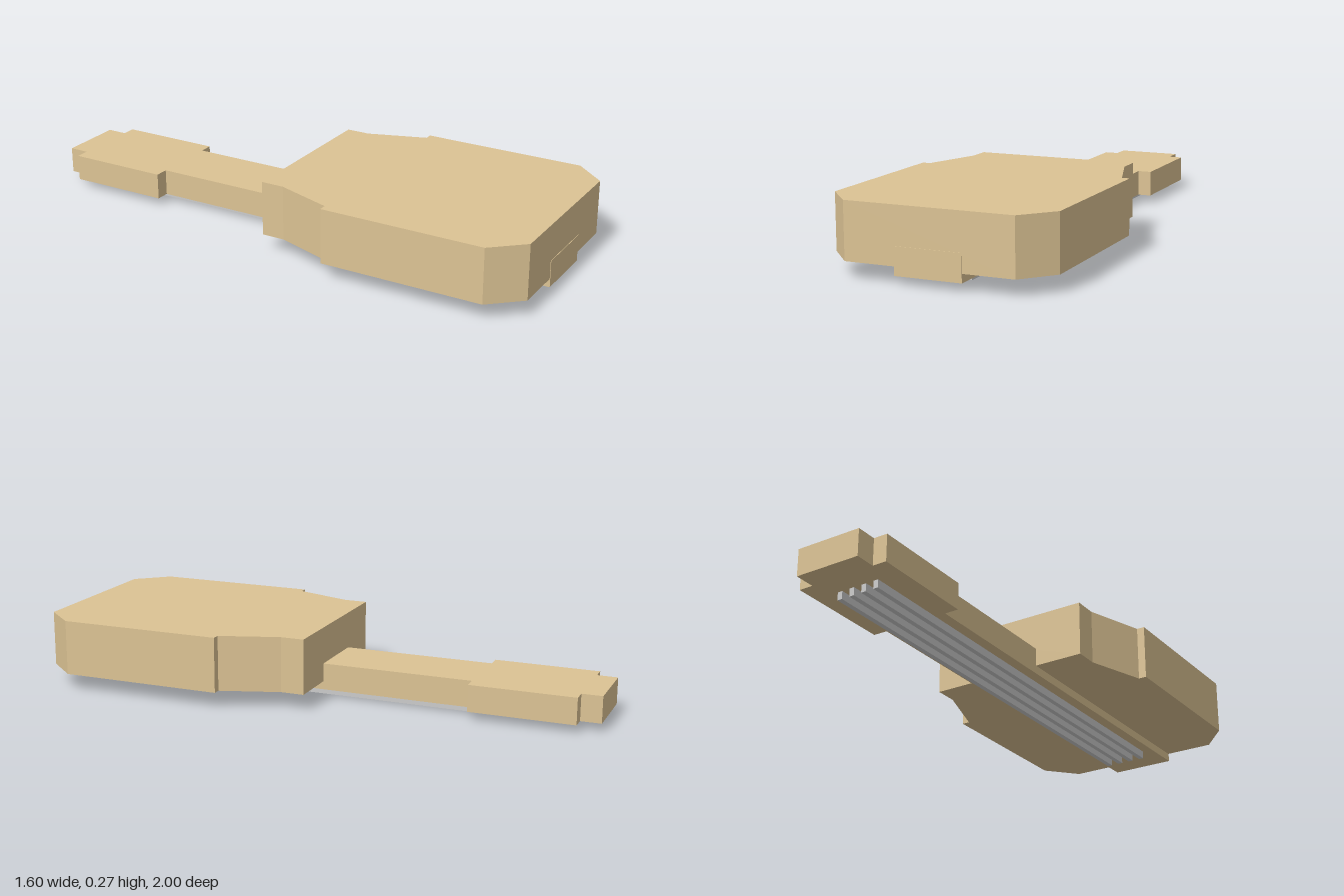
import * as THREE from 'three';

const wood = new THREE.MeshStandardMaterial({ color: 0xdcc394, flatShading: true });
const metal = new THREE.MeshStandardMaterial({ color: 0xcccccc, flatShading: true });

// Symmetric slab: rows of [half width, z], mirrored across x and extruded from y0 to y1.
function slab(name, rows, y0, y1) {
  const right = rows.map(([w, z]) => new THREE.Vector2(w, -z));
  const left = rows.map(([w, z]) => new THREE.Vector2(-w, -z)).reverse();
  const geo = new THREE.ExtrudeGeometry(new THREE.Shape([...right, ...left]), {
    depth: y1 - y0, bevelEnabled: false,
  });
  geo.rotateX(-Math.PI / 2);
  geo.translate(0, y0, 0);
  const mesh = new THREE.Mesh(geo, wood);
  mesh.name = name;
  return mesh;
}

export function createModel() {
  const model = new THREE.Group();
  model.name = 'stringedInstrument';

  // Whole instrument lies face down, turned 35 degrees
  const body = new THREE.Group();
  body.name = 'instrument';
  body.rotation.y = THREE.MathUtils.degToRad(35);
  body.position.set(-0.034, 0, 0.024);
  model.add(body);

  // Sound box with a tapered shoulder and chamfered end
  body.add(slab('soundBox', [
    [0.318, -0.1], [0.318, -0.01], [0.393, 0.212], [0.423, 0.212],
    [0.423, 0.846], [0.318, 0.965],
  ], 0.062, 0.273));

  // Neck running the full length, with the wider head at its far end
  body.add(slab('neckAndHead', [
    [0.126, -1.165], [0.126, -1.087], [0.18, -1.087], [0.18, -0.685],
    [0.126, -0.685], [0.126, 0.967],
  ], 0.03, 0.132));

  // Four strings under the neck
  const stringGeo = new THREE.BoxGeometry(0.019, 0.03, 1.815);
  for (let i = 0; i < 4; i++) {
    const string = new THREE.Mesh(stringGeo, metal);
    string.name = `string${i + 1}`;
    string.position.set((i - 1.5) * 0.05, 0.015, -0.0975);
    body.add(string);
  }
  return model;
}
